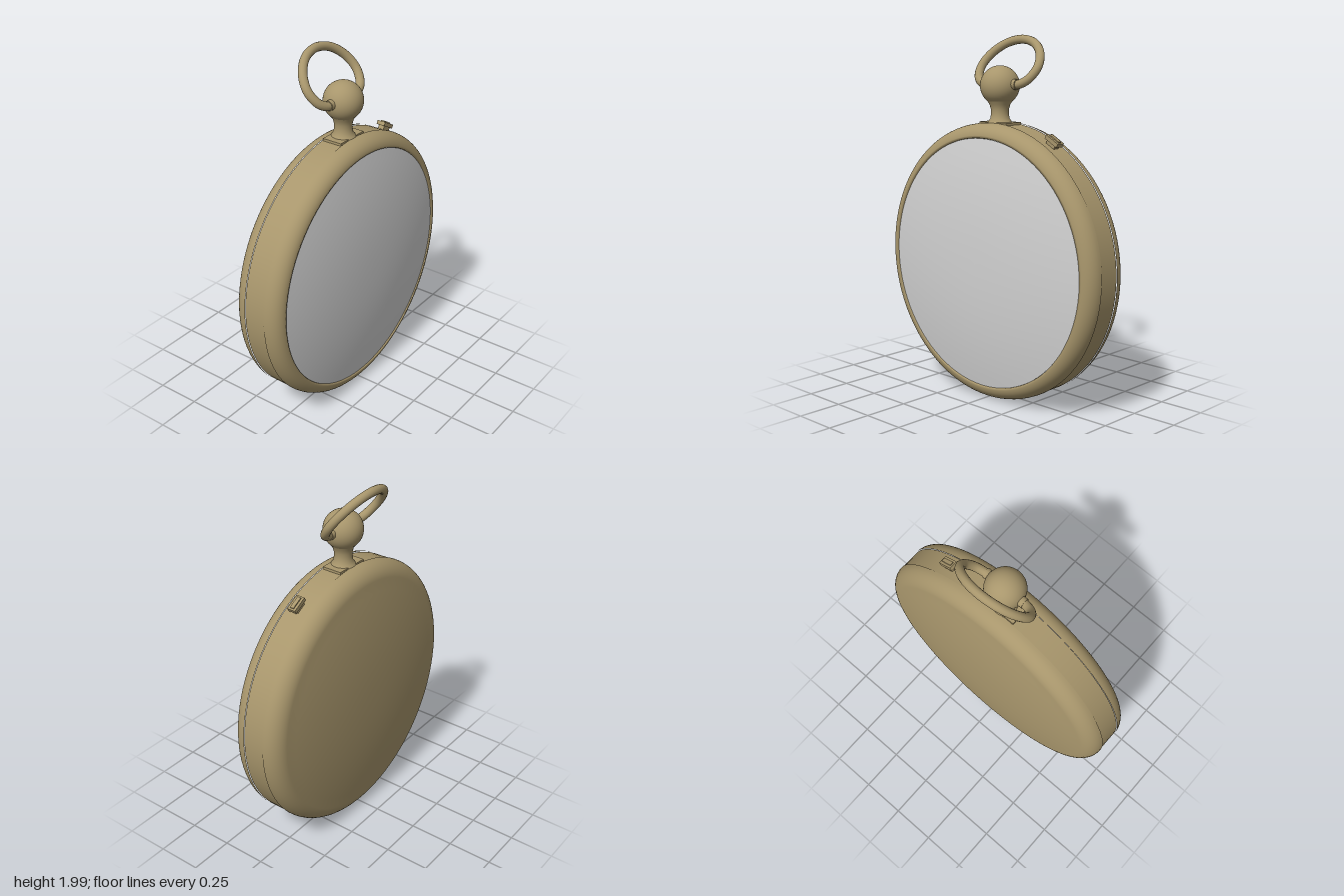
import * as THREE from 'three';

const brass = new THREE.MeshStandardMaterial({ name: 'brass', color: 0xa8966c });
const glass = new THREE.MeshStandardMaterial({ name: 'paleGlass', color: 0xd2d2d2 });

const CENTRE_Y = 0.768;
const RADIUS = 0.76;

function add(parent, name, geometry, material = brass) {
  const mesh = new THREE.Mesh(geometry, material);
  mesh.name = name;
  parent.add(mesh);
  return mesh;
}

function lathe(points, segments) {
  return new THREE.LatheGeometry(points.map(([r, y]) => new THREE.Vector2(r, y)), segments);
}

// Shallow dome from the centre out to radius r; height falls from z0 to z1
function dome(r, z0, z1, steps = 14) {
  return Array.from({ length: steps + 1 }, (_, i) => {
    const t = i / steps;
    return [r * t, z0 + (z1 - z0) * t ** 2.2];
  });
}

// Rounded shoulder, from the dome edge to the side band
function shoulder(r, z, zBand, steps = 10) {
  return Array.from({ length: steps }, (_, i) => {
    const a = ((i + 1) / steps) * Math.PI / 2;
    return [r + (RADIUS - r) * Math.sin(a), zBand + (z - zBand) * Math.cos(a)];
  });
}

export function createModel() {
  const watch = new THREE.Group();
  watch.name = 'pocketWatch';

  // Case: turned about the z axis
  const body = new THREE.Group();
  body.name = 'case';
  body.position.y = CENTRE_Y;
  body.rotation.x = Math.PI / 2;
  watch.add(body);

  add(body, 'backCover', lathe([...dome(0.66, -0.205, -0.155), ...shoulder(0.66, -0.155, -0.062)], 96));
  add(body, 'sideBand', lathe([[RADIUS - 0.004, -0.062], [RADIUS - 0.004, 0.062]], 96));
  const bezel = [[0.68, 0.13], [0.684, 0.147], ...shoulder(0.684, 0.147, 0.062)];
  add(body, 'bezel', lathe(bezel.reverse(), 96));
  add(body, 'crystal', lathe(dome(0.682, 0.2, 0.142).reverse(), 96), glass);

  // Neck and crown ball
  add(watch, 'neckFoot', new THREE.BoxGeometry(0.2, 0.02, 0.115)).position.y = 1.521;
  add(watch, 'neck', lathe([
    [0.075, 1.515], [0.062, 1.535], [0.052, 1.55], [0.048, 1.575],
    [0.049, 1.6], [0.056, 1.625], [0.068, 1.642], [0.075, 1.66],
  ], 32));
  const ball = add(watch, 'crownBall', new THREE.SphereGeometry(0.107, 40, 28));
  ball.position.y = 1.725;

  // Bow: half outline mirrored, leaning backwards from the ball
  const half = [[0.08, 0.012], [0.135, 0.016], [0.182, 0.05], [0.207, 0.125], [0.18, 0.21], [0.105, 0.281]];
  const outline = [...half, [0, 0.308], ...half.map(([x, y]) => [-x, y]).reverse()];
  const path = new THREE.CatmullRomCurve3(outline.map(([x, y]) => new THREE.Vector3(x, y, 0)));
  const bow = add(watch, 'bow', new THREE.TubeGeometry(path, 80, 0.024, 14));
  bow.position.set(0, 1.722, 0.005);
  bow.rotation.x = -0.635;

  // Pivots where the bow enters the ball
  for (const side of [-1, 1]) {
    const pivot = add(watch, 'bowPivot', new THREE.CylinderGeometry(0.028, 0.028, 0.05, 16));
    pivot.rotation.z = Math.PI / 2;
    pivot.position.set(side * 0.1, 1.733, -0.002);
  }

  // Push button on the upper left rim
  const button = new THREE.Group();
  button.name = 'pushButton';
  const angle = 0.515;
  button.position.set(Math.sin(angle) * RADIUS, CENTRE_Y + Math.cos(angle) * RADIUS, 0);
  button.rotation.z = -angle;
  watch.add(button);
  add(button, 'buttonStem', new THREE.BoxGeometry(0.06, 0.04, 0.036)).position.y = 0.002;
  add(button, 'buttonCap', new THREE.BoxGeometry(0.09, 0.022, 0.05)).position.y = 0.026;
  add(button, 'buttonRidge', new THREE.BoxGeometry(0.07, 0.01, 0.022)).position.y = 0.038;

  return watch;
}
